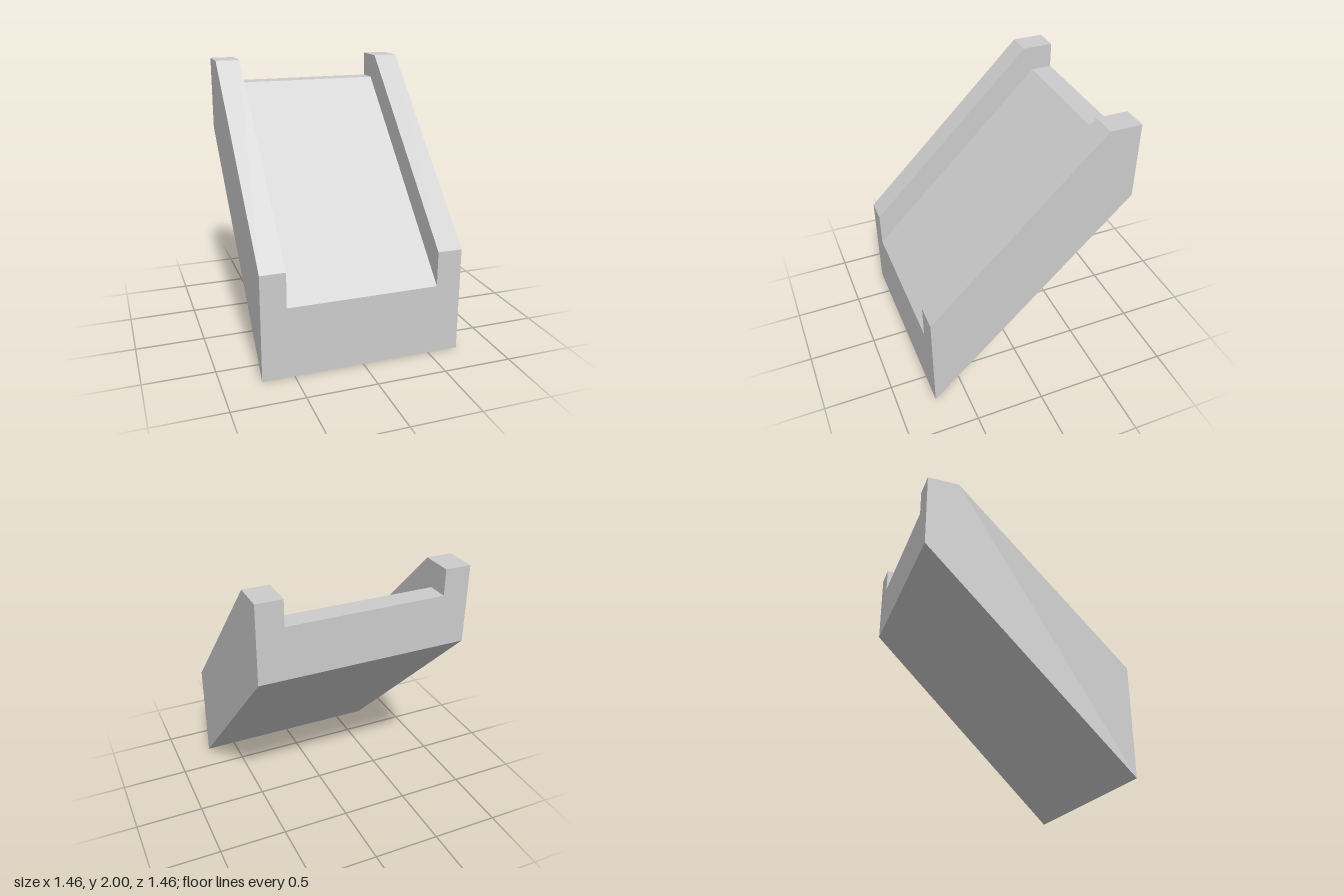
import * as THREE from 'three';

const HALF = 0.728;   // half width and half depth
const INNER = 0.548;  // inner face of each side wall

// Extrudes a side profile of [z, y] points from x0 to x1
function slab(name, profile, x0, x1, material) {
  const shape = new THREE.Shape(profile.map(([z, y]) => new THREE.Vector2(-z, y)));
  const geometry = new THREE.ExtrudeGeometry(shape, { depth: x1 - x0, bevelEnabled: false });
  geometry.rotateY(Math.PI / 2);
  geometry.translate(x0, 0, 0);
  const mesh = new THREE.Mesh(geometry, material);
  mesh.name = name;
  return mesh;
}

// Sloped body, cut plumb at both ends and level at the top
function profile(frontTop, backTop, landingZ) {
  return [[HALF, 0], [-HALF, 1.457], [-HALF, backTop], [landingZ, backTop], [HALF, frontTop]];
}

export function createModel() {
  const group = new THREE.Group();
  group.name = 'ramp';
  const stone = new THREE.MeshStandardMaterial({ color: 0xcccccc });
  stone.name = 'light grey';

  // Sloping deck between the walls
  group.add(slab('deck', profile(0.515, 1.82, -0.578), -INNER, INNER, stone));

  // Raised walls on both sides
  const wall = profile(0.77, 2, -0.502);
  group.add(slab('leftWall', wall, INNER, HALF, stone));
  group.add(slab('rightWall', wall, -HALF, -INNER, stone));
  return group;
}
